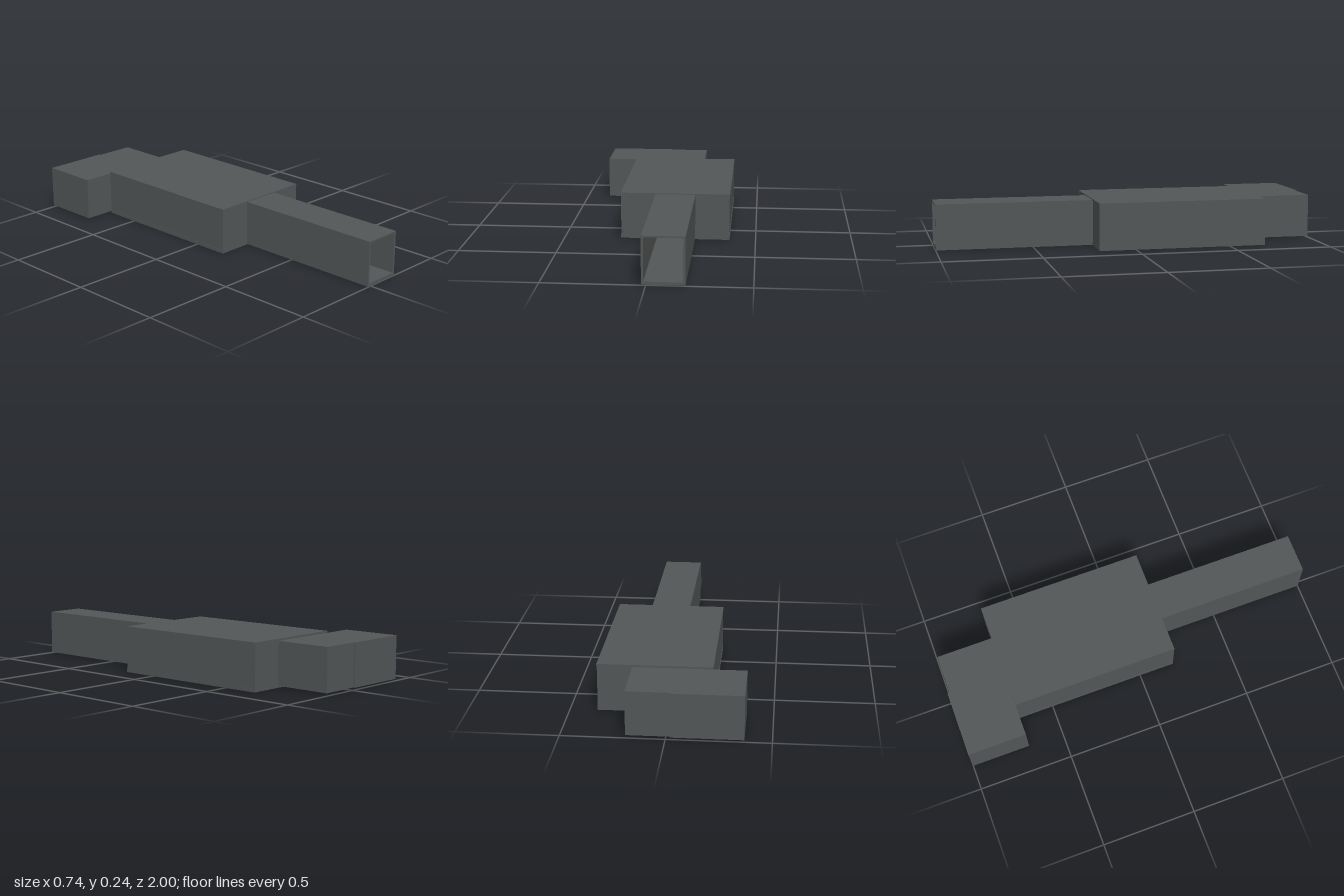
import * as THREE from 'three';

const darkGrey = new THREE.MeshStandardMaterial({ color: 0x525656 });
darkGrey.name = 'darkGrey';

// Box given by its limits on each axis
function slab(parent, name, [x0, x1], [y0, y1], [z0, z1]) {
  const mesh = new THREE.Mesh(new THREE.BoxGeometry(x1 - x0, y1 - y0, z1 - z0), darkGrey);
  mesh.position.set((x0 + x1) / 2, (y0 + y1) / 2, (z0 + z1) / 2);
  mesh.name = name;
  parent.add(mesh);
}

function section(root, name) {
  const g = new THREE.Group();
  g.name = name;
  root.add(g);
  return g;
}

// Upright wall facing z with a rectangular doorway
function doorWall(parent, name, [x0, x1], [y0, y1], [z0, z1], [dx0, dx1], [dy0, dy1]) {
  const shape = new THREE.Shape([[x0, y0], [x1, y0], [x1, y1], [x0, y1]].map(p => new THREE.Vector2(...p)));
  shape.holes.push(new THREE.Path([[dx0, dy0], [dx0, dy1], [dx1, dy1], [dx1, dy0]].map(p => new THREE.Vector2(...p))));
  const mesh = new THREE.Mesh(new THREE.ExtrudeGeometry(shape, { depth: z1 - z0, bevelEnabled: false }), darkGrey);
  mesh.position.z = z0;
  mesh.name = name;
  parent.add(mesh);
}

export function createModel() {
  const root = new THREE.Group();
  root.name = 'roomComplex';

  // Entrance corridor, open at the front
  const corridor = section(root, 'corridor');
  const cz = [0.185, 1];
  slab(corridor, 'corridorFloor', [-0.022, 0.185], [0.003, 0.018], cz);
  slab(corridor, 'corridorCeiling', [-0.022, 0.185], [0.23, 0.238], cz);
  slab(corridor, 'corridorRightWall', [-0.022, -0.012], [0.018, 0.23], cz);
  slab(corridor, 'corridorLeftWall', [0.174, 0.185], [0.018, 0.23], cz);
  for (const z of [0.3, 0.55, 0.8]) {
    slab(corridor, 'ceilingLamp', [0.05, 0.11], [0.22, 0.23], [z, z + 0.09]);
  }

  // Main room
  const room = section(root, 'mainRoom');
  const rx = [-0.205, 0.365], rz = [-0.69, 0.19];
  slab(room, 'roomFloor', rx, [0, 0.018], rz);
  slab(room, 'roomCeiling', rx, [0.234, 0.243], rz);
  slab(room, 'roomRightWall', [-0.203, -0.193], [0.018, 0.234], rz);
  slab(room, 'roomLeftWall', [0.353, 0.363], [0.018, 0.234], rz);
  doorWall(room, 'roomFrontWall', [-0.193, 0.353], [0.018, 0.234], [0.18, 0.189], [-0.012, 0.174], [0.019, 0.23]);
  doorWall(room, 'roomBackWall', [-0.193, 0.353], [0.018, 0.234], [-0.69, -0.682], [0.035, 0.13], [0.019, 0.18]);

  // Door trim
  for (const x of [0.029, 0.13]) slab(room, 'doorPost', [x, x + 0.006], [0.018, 0.184], [-0.682, -0.674]);
  slab(room, 'doorLintel', [0.035, 0.13], [0.178, 0.184], [-0.682, -0.674]);

  // Sagging cables beside the doorway
  for (const [xa, xb] of [[-0.012, 0.042], [0.172, 0.118]]) {
    for (const y of [0.1, 0.105, 0.155, 0.16]) {
      const curve = new THREE.CatmullRomCurve3([
        new THREE.Vector3(xa, y + 0.003, -0.66),
        new THREE.Vector3((xa + xb) / 2, y - 0.003, -0.655),
        new THREE.Vector3(xb, y, -0.66)]);
      const cable = new THREE.Mesh(new THREE.TubeGeometry(curve, 10, 0.0012, 6), darkGrey);
      cable.name = 'cable';
      room.add(cable);
    }
    const post = Math.min(xa, xa + Math.sign(xb - xa) * 0.006);
    slab(room, 'cablePost', [post, post + 0.006], [0.018, 0.22], [-0.67, -0.655]);
  }

  // Rear room, with a slight step in its back wall
  const rear = section(root, 'rearRoom');
  for (const [x0, x1, z0] of [[-0.37, -0.02, -1], [-0.02, 0.19, -0.99]]) {
    slab(rear, 'rearFloor', [x0, x1], [0.01, 0.02], [z0, -0.69]);
    slab(rear, 'rearCeiling', [x0, x1], [0.224, 0.233], [z0, -0.69]);
    slab(rear, 'rearBackWall', [x0, x1], [0.02, 0.224], [z0, z0 + 0.01]);
  }
  slab(rear, 'rearRightWall', [-0.37, -0.36], [0.02, 0.224], [-0.99, -0.69]);
  slab(rear, 'rearLeftWall', [0.18, 0.19], [0.02, 0.224], [-0.98, -0.69]);
  slab(rear, 'rearFrontWall', [-0.36, -0.193], [0.02, 0.224], [-0.698, -0.69]);

  // Console and wall panel facing the doorway
  slab(rear, 'console', [0.035, 0.13], [0.02, 0.075], [-0.98, -0.93]);
  slab(rear, 'wallPanel', [0.05, 0.105], [0.08, 0.17], [-0.98, -0.973]);

  return root;
}
